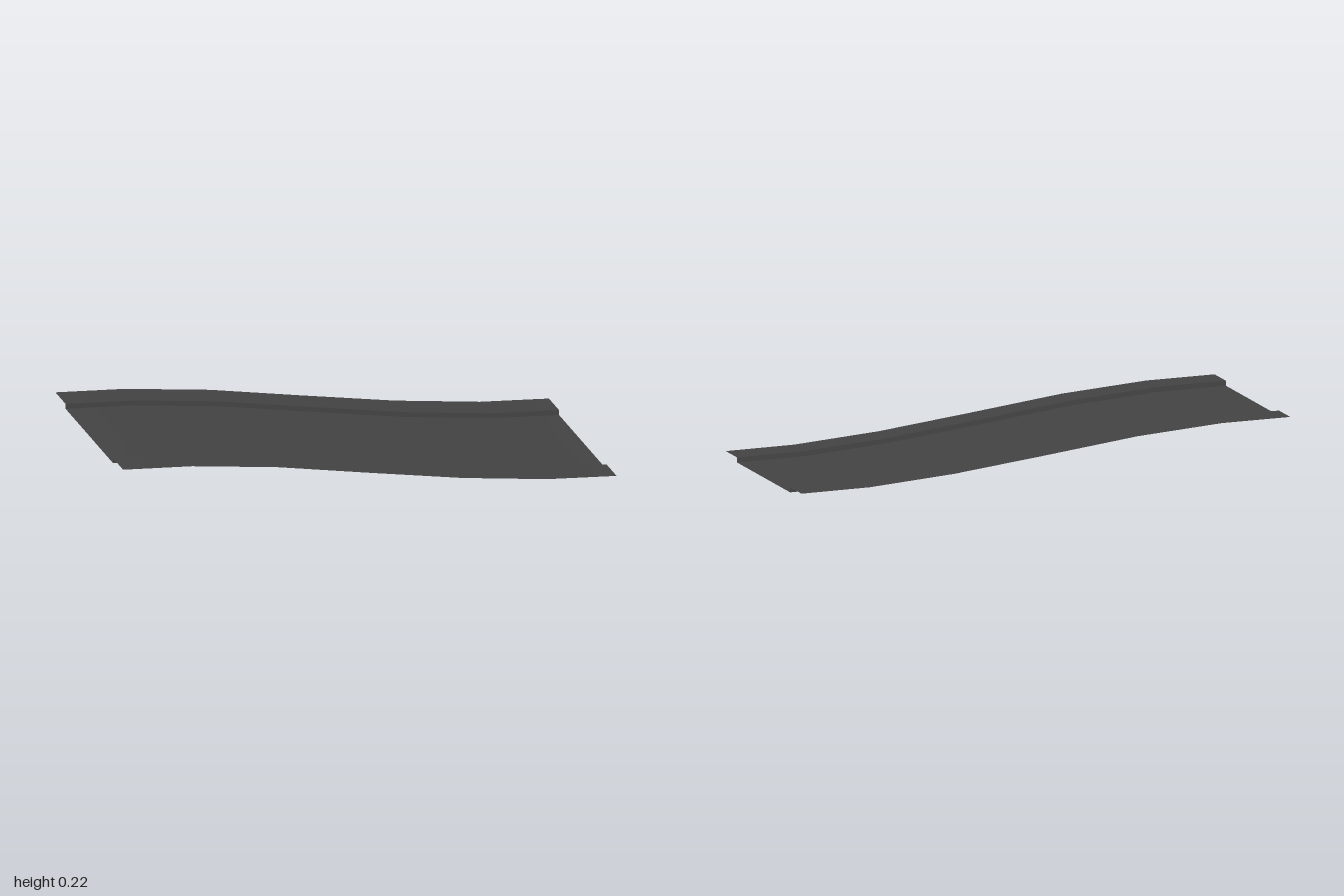
import * as THREE from 'three';

// Slope of the road surface along its length: [x, y]
const slope = [
  [-1, 0.2], [-0.72, 0.19], [-0.375, 0.156], [0, 0.1],
  [0.375, 0.046], [0.72, 0.011], [1, 0],
];
const kerbHeight = 0.02;
const roadEdge = 0.35;
const outerEdge = 0.5;

// Sheet swept along the slope between two cross-section points [z, lift]
function strip(name, [zA, liftA], [zB, liftB], material) {
  const positions = [];
  const index = [];
  slope.forEach(([x, y], i) => {
    positions.push(x, y + liftA, zA, x, y + liftB, zB);
    if (i > 0) {
      const a = 2 * (i - 1);
      index.push(a, a + 1, a + 2, a + 1, a + 3, a + 2);
    }
  });
  const geometry = new THREE.BufferGeometry();
  geometry.setAttribute('position', new THREE.Float32BufferAttribute(positions, 3));
  geometry.setIndex(index);
  geometry.computeVertexNormals();
  const mesh = new THREE.Mesh(geometry, material);
  mesh.name = name;
  return mesh;
}

export function createModel() {
  const group = new THREE.Group();
  group.name = 'slopedRoad';
  const asphalt = new THREE.MeshStandardMaterial({ color: 0x444444, side: THREE.DoubleSide });
  asphalt.name = 'asphalt';

  // Cross-section from back to front: pavement, kerb, road, kerb, pavement
  const section = [
    [-outerEdge, kerbHeight], [-roadEdge, kerbHeight], [-roadEdge, 0],
    [roadEdge, 0], [roadEdge, kerbHeight], [outerEdge, kerbHeight],
  ];
  const names = ['backPavement', 'backKerb', 'roadSurface', 'frontKerb', 'frontPavement'];
  names.forEach((name, i) => group.add(strip(name, section[i], section[i + 1], asphalt)));
  return group;
}
